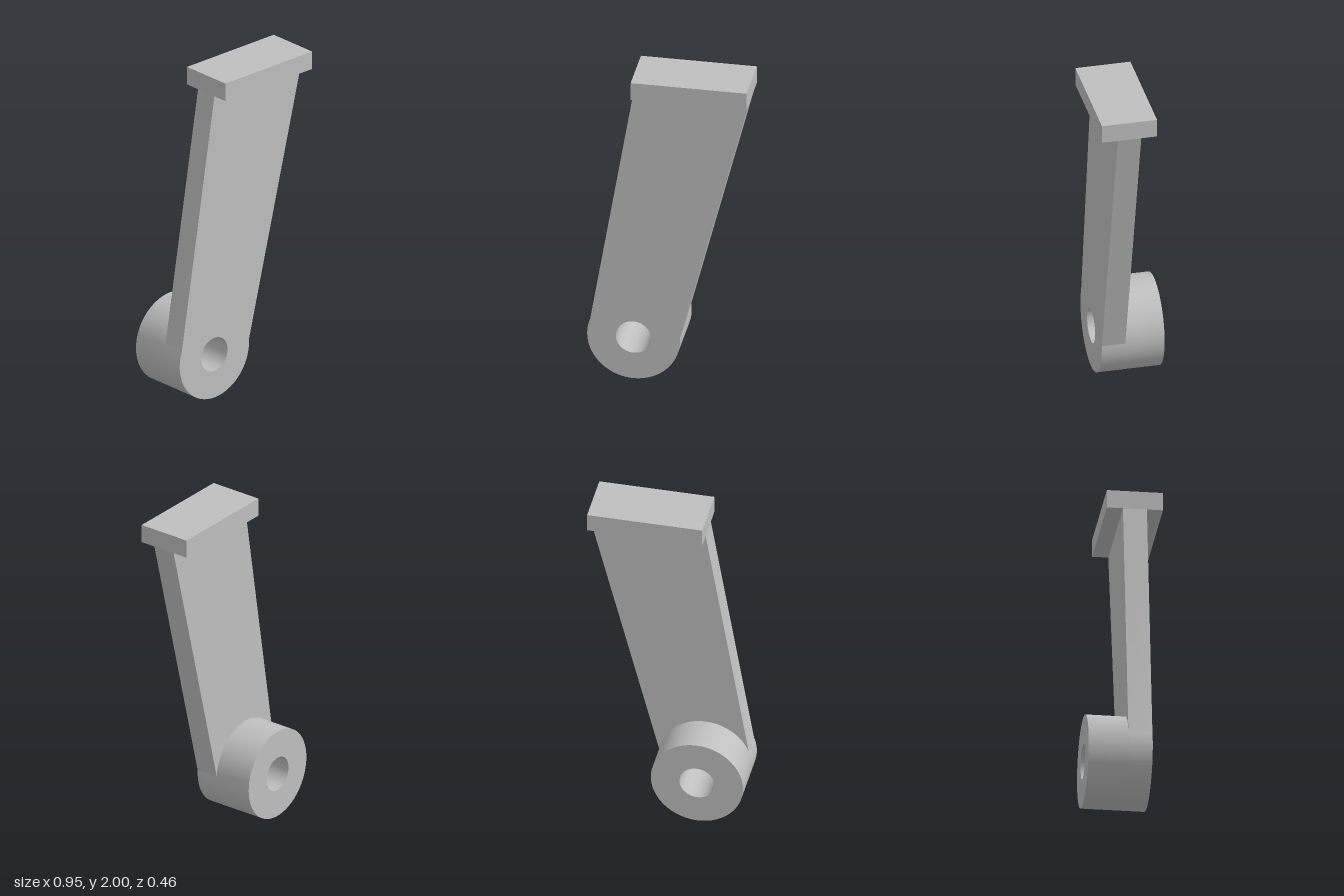
import * as THREE from 'three';
import { toCreasedNormals } from 'three/addons/utils/BufferGeometryUtils.js';

const CX = -0.204, CY = 0.271, R = 0.271, HOLE = 0.103;

// Extrude an outline, pierced by the pivot bore, from z0 to z1
function bored(shape, z0, z1, material, name) {
  const hole = new THREE.Path();
  hole.absarc(CX, CY, HOLE, 0, Math.PI * 2, true);
  shape.holes.push(hole);
  const geo = new THREE.ExtrudeGeometry(shape, { depth: z1 - z0, bevelEnabled: false, curveSegments: 48 });
  geo.translate(0, 0, z0);
  const mesh = new THREE.Mesh(toCreasedNormals(geo, 0.2), material);
  mesh.name = name;
  return mesh;
}

export function createModel() {
  const grey = new THREE.MeshStandardMaterial({ color: 0xbfbfbf });
  grey.name = 'light grey';
  const group = new THREE.Group();
  group.name = 'pivotBracket';

  // Tapered arm: rounded bottom, widening to the top plate
  const arm = new THREE.Shape();
  arm.moveTo(0.473, 1.89);
  arm.lineTo(-0.204, 1.89);
  arm.absarc(CX, CY, R, Math.PI - 0.36, Math.PI * 2 + 0.06, false);
  arm.closePath();
  group.add(bored(arm, 0, 0.139, grey, 'arm'));

  // Round boss behind the arm
  const boss = new THREE.Shape();
  boss.absarc(CX, CY, R, 0, Math.PI * 2, false);
  group.add(bored(boss, -0.232, 0, grey, 'pivotBoss'));

  // Mounting plate across the top
  const plate = new THREE.Mesh(new THREE.BoxGeometry(0.677, 0.11, 0.325), grey);
  plate.position.set(0.1345, 1.945, 0.0695);
  plate.name = 'topPlate';
  group.add(plate);

  return group;
}
